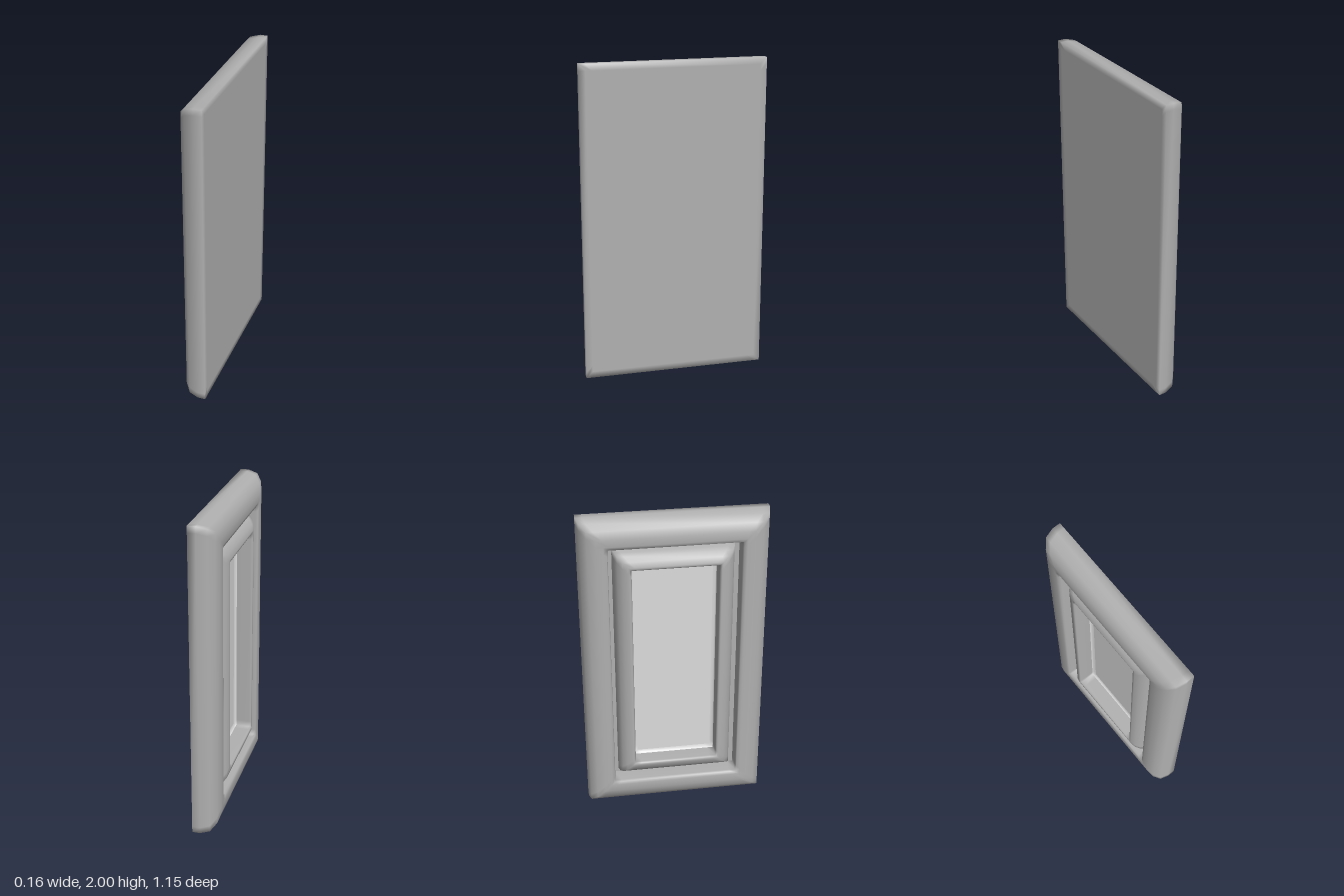
import * as THREE from 'three';

const HALF_WIDTH = 0.575;
const HEIGHT = 2;
const SOFT = 0.04; // width of the softly shaded band at the corners

// Rectangular loop inset by d at depth x, with an extra point on either side of each corner
function loop(d, x) {
  const h = HALF_WIDTH - d, lo = d, hi = HEIGHT - d, s = SOFT;
  return [
    [x, lo + s, -h], [x, lo, -h], [x, lo, s - h],
    [x, lo, h - s], [x, lo, h], [x, lo + s, h],
    [x, hi - s, h], [x, hi, h], [x, hi, h - s],
    [x, hi, s - h], [x, hi, -h], [x, hi - s, -h],
  ];
}

// Mitred rectangular moulding swept from [inset, depth] points, smooth throughout
function moulding(profile) {
  const position = [], index = [], n = 12;
  profile.forEach(([d, x], i) => {
    position.push(...loop(d, x).flat());
    if (i === 0) return;
    for (let j = 0; j < n; j++) {
      const a = (i - 1) * n + j, b = (i - 1) * n + (j + 1) % n;
      index.push(a, b, a + n, b, b + n, a + n);
    }
  });
  const geometry = new THREE.BufferGeometry();
  geometry.setAttribute('position', new THREE.Float32BufferAttribute(position, 3));
  geometry.setIndex(index);
  geometry.computeVertexNormals();
  return geometry;
}

// Flat rectangle inset by d, facing +x (facing = 1) or -x (facing = -1)
function panel(d, x, facing) {
  const geometry = new THREE.PlaneGeometry(2 * (HALF_WIDTH - d), HEIGHT - 2 * d);
  geometry.rotateY(facing * Math.PI / 2);
  geometry.translate(x, HEIGHT / 2, 0);
  return geometry;
}

export function createModel() {
  const group = new THREE.Group();
  const grey = new THREE.MeshStandardMaterial({ color: 0xb0b0b0 });
  grey.name = 'grey';
  const paleGrey = new THREE.MeshStandardMaterial({ color: 0xdcdcdc });
  paleGrey.name = 'paleGrey';

  const add = (name, geometry, material) => {
    const mesh = new THREE.Mesh(geometry, material);
    mesh.name = name;
    group.add(mesh);
  };

  // Outer frame: rim of the back, rounded outside, crest, steep inner wall
  add('outerFrame', moulding([
    [SOFT, 0.08], [0, 0.08], [0, 0.03], [0.015, -0.03], [0.055, -0.065], [0.105, -0.08],
    [0.15, -0.08], [0.17, -0.075], [0.175, -0.06], [0.176, 0.035],
  ]), grey);
  add('flatBack', panel(SOFT, 0.08, 1), grey);

  // Narrow floor between the two frames
  add('grooveFloor', moulding([[0.176, 0.035], [0.205, 0.035]]), grey);

  // Inner frame: rounded outside, narrow crest, steep inner wall
  add('innerFrame', moulding([
    [0.205, 0.035], [0.215, -0.014], [0.23, -0.043], [0.258, -0.069], [0.29, -0.08],
    [0.3, -0.08], [0.308, -0.077], [0.312, -0.065], [0.313, 0.022],
  ]), grey);

  // Pale recessed panel with a small rounded rim
  add('panelRim', moulding([[0.313, 0.022], [0.318, 0.031], [0.335, 0.035]]), paleGrey);
  add('recessedPanel', panel(0.335, 0.035, -1), paleGrey);
  return group;
}
